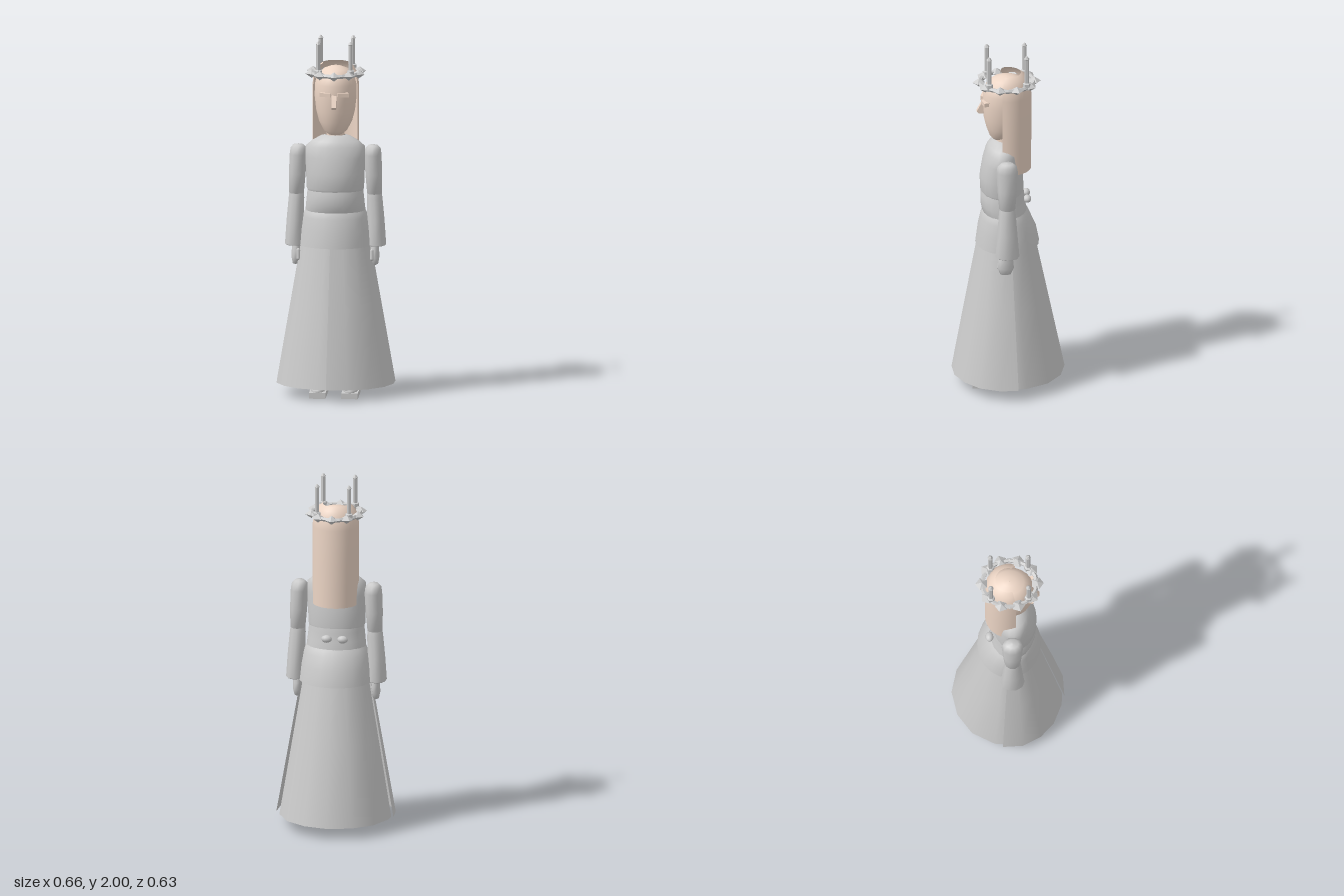
import * as THREE from 'three';

const grey = new THREE.MeshStandardMaterial({ color: 0xcccccc, side: THREE.DoubleSide });
const facet = new THREE.MeshStandardMaterial({ color: 0xcccccc, flatShading: true });
const skin = new THREE.MeshStandardMaterial({ color: 0xecd5c5, side: THREE.DoubleSide });

export function createModel() {
  const model = new THREE.Group();

  const add = (name, geometry, material = grey, x = 0, y = 0, z = 0, parent = model) => {
    const mesh = new THREE.Mesh(geometry, material);
    mesh.name = name;
    mesh.position.set(x, y, z);
    parent.add(mesh);
    return mesh;
  };

  // Builds a surface from equal-length rows of points, each row above the last
  const skinRows = (rows, closed) => {
    const n = rows[0].length, index = [];
    for (let i = 0; i < rows.length - 1; i++) {
      for (let j = 0; j < (closed ? n : n - 1); j++) {
        const a = i * n + j, b = i * n + (j + 1) % n;
        index.push(a, b, b + n, a, b + n, a + n);
      }
    }
    const g = new THREE.BufferGeometry();
    g.setAttribute('position', new THREE.Float32BufferAttribute(rows.flat(2), 3));
    g.setIndex(index);
    g.computeVertexNormals();
    return g;
  };

  // Oval cross-sections: [y, centre x, radius x, centre z, radius z]
  const loft = (sections, sides = 20) => skinRows(sections.map(([y, cx, rx, cz, rz]) =>
    Array.from({ length: sides }, (_, j) => {
      const a = j / sides * Math.PI * 2;
      return [cx + rx * Math.sin(a), y, cz + rz * Math.cos(a)];
    })), true);

  // Skirt of three overlapping panels, each flaring from waist to hem
  const hems = {
    skirtBack: [[0.31, -0.02], [0.305, -0.08], [0.24, -0.205], [0.13, -0.285], [0, -0.315],
      [-0.135, -0.285], [-0.245, -0.205], [-0.31, -0.08], [-0.315, -0.02]],
    skirtFrontRight: [[-0.33, -0.035], [-0.325, 0.075], [-0.275, 0.175], [-0.195, 0.25],
      [-0.085, 0.295], [-0.02, 0.3]],
    skirtFrontLeft: [[-0.035, 0.312], [0.085, 0.305], [0.195, 0.255], [0.28, 0.175],
      [0.325, 0.07], [0.33, -0.035]],
  };
  for (const [name, hem] of Object.entries(hems)) {
    const rows = [0, 0.5, 1].map(t => hem.map(([x, z]) =>
      [x * (1 - 0.46 * t), 0.065 + 0.88 * t, z * (1 - 0.54 * t) + 0.012 * t]));
    // The panels face outward only when their points run from front to left to back to right
    if (name !== 'skirtFrontLeft' && name !== 'skirtBack') add(name, skinRows(rows, false));
    else add(name, skinRows(rows, false));
  }

  // Jacket: flared lower part, waist sash and bodice
  add('jacketSkirt', loft([
    [0.84, 0, 0.205, 0.005, 0.178], [0.93, 0, 0.195, 0.008, 0.163],
    [1.0, 0, 0.183, 0.015, 0.14], [1.03, 0, 0.172, 0.018, 0.128], [1.07, 0, 0.15, 0.02, 0.105],
  ]));
  add('bodiceLower', loft([
    [1.0, 0, 0.165, 0.01, 0.112], [1.03, 0, 0.168, 0.018, 0.124], [1.08, 0, 0.163, 0.03, 0.124],
    [1.13, 0, 0.158, 0.032, 0.122], [1.175, 0, 0.152, 0.03, 0.112],
  ]));
  add('bodiceUpper', loft([
    [1.14, 0, 0.15, 0.028, 0.11], [1.165, 0, 0.16, 0.035, 0.121], [1.25, 0, 0.163, 0.037, 0.121],
    [1.34, 0, 0.168, 0.034, 0.108], [1.4, 0, 0.165, 0.032, 0.093], [1.43, 0, 0.13, 0.03, 0.08],
    [1.455, 0, 0.085, 0.028, 0.058], [1.462, 0, 0.055, 0.025, 0.045],
  ]));
  for (const x of [0.035, -0.055]) {
    add('backButton', new THREE.SphereGeometry(0.025, 10, 8), grey, x, 1.105, -0.105)
      .scale.set(1.2, 0.85, 0.9);
  }

  // Arms, hands, legs and shoes, mirrored
  for (const [side, s] of [['left', 1], ['right', -1]]) {
    const at = rows => rows.map(([y, x, ...rest]) => [y, s * x, ...rest]);
    add(side + 'UpperSleeve', loft(at([
      [1.13, 0.217, 0.001, 0.02, 0.001], [1.13, 0.217, 0.042, 0.02, 0.045],
      [1.24, 0.213, 0.048, 0.02, 0.054], [1.35, 0.208, 0.049, 0.02, 0.06],
      [1.385, 0.208, 0.044, 0.02, 0.054], [1.402, 0.208, 0.028, 0.02, 0.034],
      [1.407, 0.208, 0.001, 0.02, 0.001],
    ]), 10));
    add(side + 'LowerSleeve', loft(at([
      [0.88, 0.228, 0.001, 0.02, 0.001], [0.84, 0.23, 0.048, 0.02, 0.062],
      [0.845, 0.23, 0.053, 0.02, 0.067], [0.98, 0.225, 0.049, 0.02, 0.056],
      [1.1, 0.218, 0.045, 0.02, 0.047], [1.135, 0.217, 0.041, 0.02, 0.043],
    ]), 10));
    add(side + 'Hand', loft(at([
      [0.728, 0.222, 0.001, 0.03, 0.001], [0.735, 0.222, 0.016, 0.03, 0.03],
      [0.77, 0.22, 0.025, 0.028, 0.045], [0.81, 0.218, 0.026, 0.026, 0.04],
      [0.88, 0.22, 0.022, 0.024, 0.025],
    ]), 10));
    add(side + 'Thumb', new THREE.CapsuleGeometry(0.011, 0.045, 4, 8), grey, s * 0.205, 0.79, 0.062)
      .rotation.x = -0.15;
    add(side + 'Leg', new THREE.CylinderGeometry(0.065, 0.042, 0.75, 10), grey, s * 0.09, 0.5, 0);
    add(side + 'Ankle', new THREE.SphereGeometry(0.042, 10, 8), grey, s * 0.09, 0.09, 0);
    add(side + 'Sole', new THREE.BoxGeometry(0.092, 0.032, 0.245), facet, s * 0.09, 0.016, 0.085);
    add(side + 'Shoe', new THREE.SphereGeometry(1, 12, 8), grey, s * 0.09, 0.035, 0.085)
      .scale.set(0.043, 0.03, 0.122);
  }

  // Head and neck
  add('neck', new THREE.CylinderGeometry(0.045, 0.055, 0.2, 12), skin, 0, 1.46, 0.02);
  add('head', loft([
    [1.462, 0, 0.001, 0.06, 0.001], [1.468, 0, 0.035, 0.055, 0.028], [1.49, 0, 0.065, 0.045, 0.058],
    [1.54, 0, 0.092, 0.025, 0.096], [1.6, 0, 0.108, 0.018, 0.117], [1.68, 0, 0.117, 0.014, 0.127],
    [1.75, 0, 0.115, 0.012, 0.128], [1.8, 0, 0.1, 0.01, 0.112], [1.83, 0, 0.07, 0.008, 0.08],
    [1.845, 0, 0.03, 0.006, 0.035], [1.847, 0, 0.001, 0.006, 0.001],
  ], 24), skin);

  // Face: wedge nose and narrow eye strips
  const noseSide = new THREE.Shape([[0.11, 1.7], [0.142, 1.7], [0.175, 1.638], [0.165, 1.625], [0.11, 1.625]]
    .map(p => new THREE.Vector2(-p[0], p[1])));
  const nose = new THREE.ExtrudeGeometry(noseSide, { depth: 0.026, bevelEnabled: false });
  nose.rotateY(Math.PI / 2);
  add('nose', nose, skin, -0.013);
  for (const s of [1, -1]) {
    add('eye', new THREE.BoxGeometry(0.06, 0.022, 0.035), skin, s * 0.048, 1.703, 0.128)
      .rotation.y = s * 0.25;
  }

  // Long straight hair wrapping the back of the head, open at the face
  const hairProfile = [[0.129, 1.29], [0.13, 1.5], [0.13, 1.74], [0.123, 1.8], [0.1, 1.845], [0.072, 1.865]];
  const hairRows = hairProfile.map(([r, y]) => Array.from({ length: 25 }, (_, j) => {
    const a = Math.PI * (0.4 + 1.2 * j / 24);
    return [r * Math.sin(a), y, r * Math.cos(a)];
  }));
  add('hair', skinRows(hairRows, false), skin);

  // Crown of faceted leaves with four candles
  const crown = new THREE.Group();
  crown.name = 'crown';
  crown.position.set(0, 1.81, 0.007);
  model.add(crown);
  const band = add('crownBand', new THREE.TorusGeometry(0.137, 0.012, 5, 20), facet, 0, 0, 0, crown);
  band.rotation.x = Math.PI / 2;
  band.scale.y = 1.1;
  for (let i = 0; i < 10; i++) {
    const a = i * Math.PI / 5;
    const leaf = add('crownLeaf', new THREE.SphereGeometry(0.037, 5, 2), facet,
      0.137 * Math.sin(a), 0, 0.154 * Math.cos(a), crown);
    leaf.scale.y = 0.7;
    leaf.rotation.y = a + Math.PI / 2;
  }
  const candle = [[0.001, -0.01], [0.022, -0.01], [0.022, 0.025], [0.013, 0.03],
    [0.013, 0.172], [0.016, 0.174], [0.005, 0.19], [0.001, 0.19]].map(p => new THREE.Vector2(...p));
  for (const x of [-0.09, 0.09]) {
    for (const z of [-0.105, 0.105]) {
      add('candle', new THREE.LatheGeometry(candle, 6), facet, x, 0, z, crown);
    }
  }

  return model;
}
